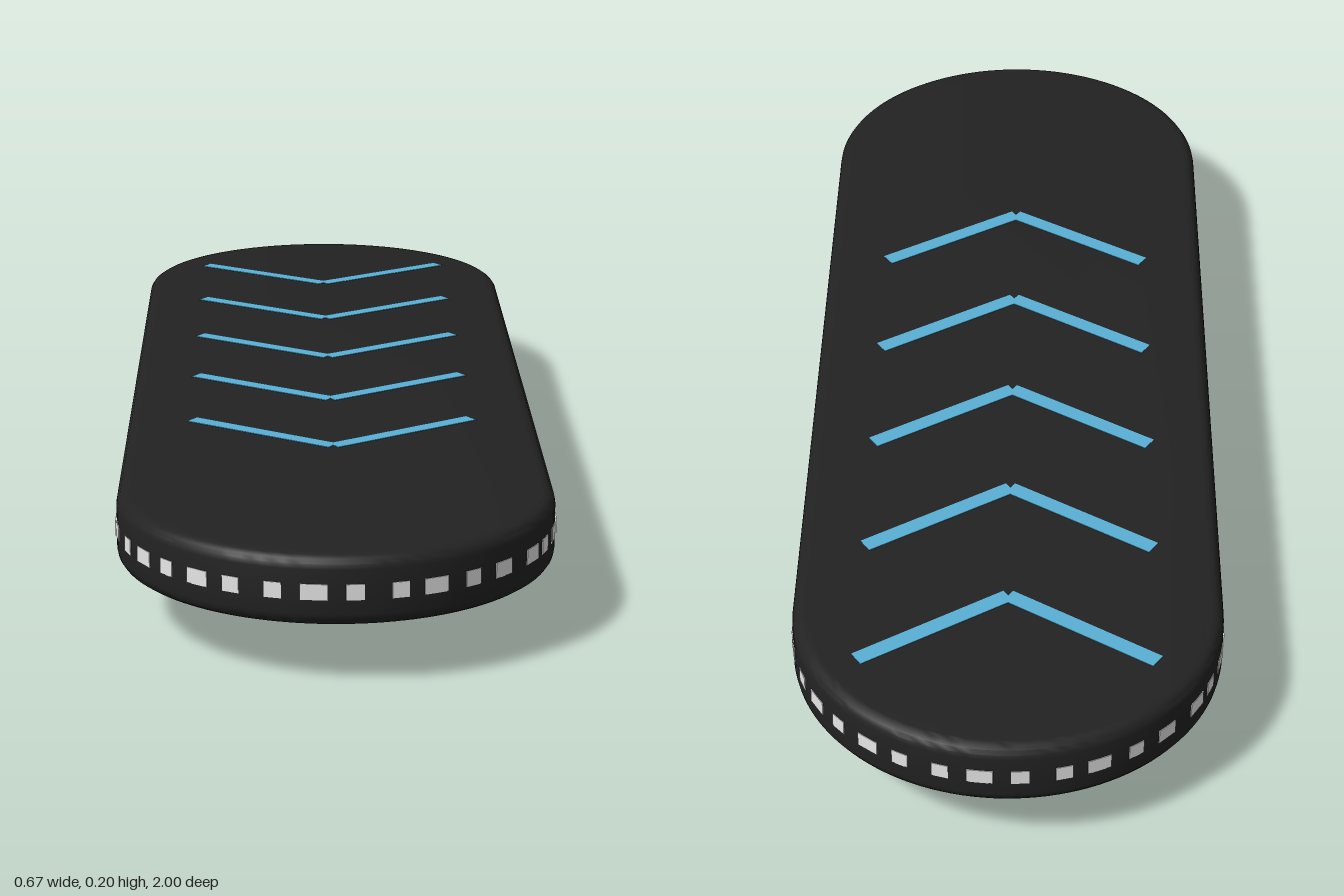
import * as THREE from 'three';
import { toCreasedNormals } from 'three/addons/utils/BufferGeometryUtils.js';

const black = new THREE.MeshStandardMaterial({ name: 'matte black', color: 0x222222 });
const blue = new THREE.MeshStandardMaterial({ name: 'glow blue', color: 0x58b0d6 });
const white = new THREE.MeshStandardMaterial({ name: 'light white', color: 0xececec });

const HALF_WIDTH = 0.336, END = 0.664; // deck half width, z of the end-cap centres
const BOTTOM = 0.095, TOP = 0.203, LIGHT_Y = 0.149, LIGHT_H = 0.024;

function add(parent, name, geometry, material, x = 0, y = 0, z = 0) {
  const mesh = new THREE.Mesh(geometry, material);
  mesh.name = name;
  mesh.position.set(x, y, z);
  parent.add(mesh);
  return mesh;
}

// Stadium-shaped slab with rounded edges
function deckGeometry() {
  const bevel = 0.02, r = HALF_WIDTH - bevel;
  const shape = new THREE.Shape();
  shape.absarc(0, END, r, 0, Math.PI, false);
  shape.absarc(0, -END, r, Math.PI, Math.PI * 2, false);
  shape.closePath();
  const geometry = new THREE.ExtrudeGeometry(shape, {
    depth: TOP - BOTTOM - 2 * bevel, bevelSize: bevel, bevelThickness: bevel,
    bevelSegments: 4, curveSegments: 32,
  });
  geometry.rotateX(-Math.PI / 2);
  geometry.translate(0, BOTTOM + bevel, 0);
  return toCreasedNormals(geometry, 0.6);
}

// V mark made of two mirrored arms, its point towards +z
function chevron(y, z) {
  const group = new THREE.Group();
  group.name = 'chevron';
  group.position.set(0, y, z);
  for (const side of [-1, 1]) {
    const arm = add(group, 'chevronArm', new THREE.BoxGeometry(0.276, 0.003, 0.028), blue,
      side * 0.115, 0, -0.076);
    arm.rotation.y = side * 0.585;
  }
  return group;
}

// Row of light dashes around one rounded end
function endLights() {
  const group = new THREE.Group();
  group.name = 'endLights';
  const dashes = [
    [-81, 0.03], [-69, 0.027], [-59, 0.038], [-48.8, 0.027], [-38, 0.037], [-28, 0.027],
    [-16.8, 0.026], [-6.5, 0.04], [3.8, 0.027], [15.2, 0.026], [24.7, 0.038],
    [35.6, 0.027], [46.2, 0.036], [59.5, 0.038], [68, 0.027], [78, 0.036],
  ];
  for (const [degrees, width] of dashes) {
    const a = THREE.MathUtils.degToRad(degrees), r = HALF_WIDTH - 0.002;
    const dash = add(group, 'lightDash', new THREE.BoxGeometry(width, LIGHT_H, 0.006), white,
      r * Math.sin(a), LIGHT_Y, END + r * Math.cos(a));
    dash.rotation.y = a;
  }
  return group;
}

export function createModel() {
  const model = new THREE.Group();
  model.name = 'hoverBoard';

  add(model, 'deck', deckGeometry(), black);

  // Chevrons on the top, showing through on the underside
  for (let i = 0; i < 5; i++) {
    const z = -0.647 + i * 0.274;
    model.add(chevron(TOP - 0.0007, z), chevron(BOTTOM + 0.0007, z));
  }

  // Long side lights and dashed end lights
  for (const side of [-1, 1]) {
    add(model, 'sideLight', new THREE.BoxGeometry(0.006, LIGHT_H, 1.388), white,
      side * (HALF_WIDTH - 0.002), LIGHT_Y, 0.006);
  }
  const rear = endLights();
  rear.rotation.y = Math.PI;
  model.add(endLights(), rear);

  // Flared pods with round emitters underneath
  for (const z of [0.555, -0.555]) {
    add(model, 'thrusterPod', new THREE.CylinderGeometry(0.135, 0.156, 0.078, 32), black,
      0, 0.061, z);
    add(model, 'emitterDisc', new THREE.CylinderGeometry(0.0975, 0.0975, 0.026, 32), blue,
      0, 0.013, z);
  }

  // Flat bar running through both pods
  add(model, 'connectingBar', new THREE.BoxGeometry(0.075, 0.013, 1.474), blue, 0, 0.0635, 0);

  return model;
}
